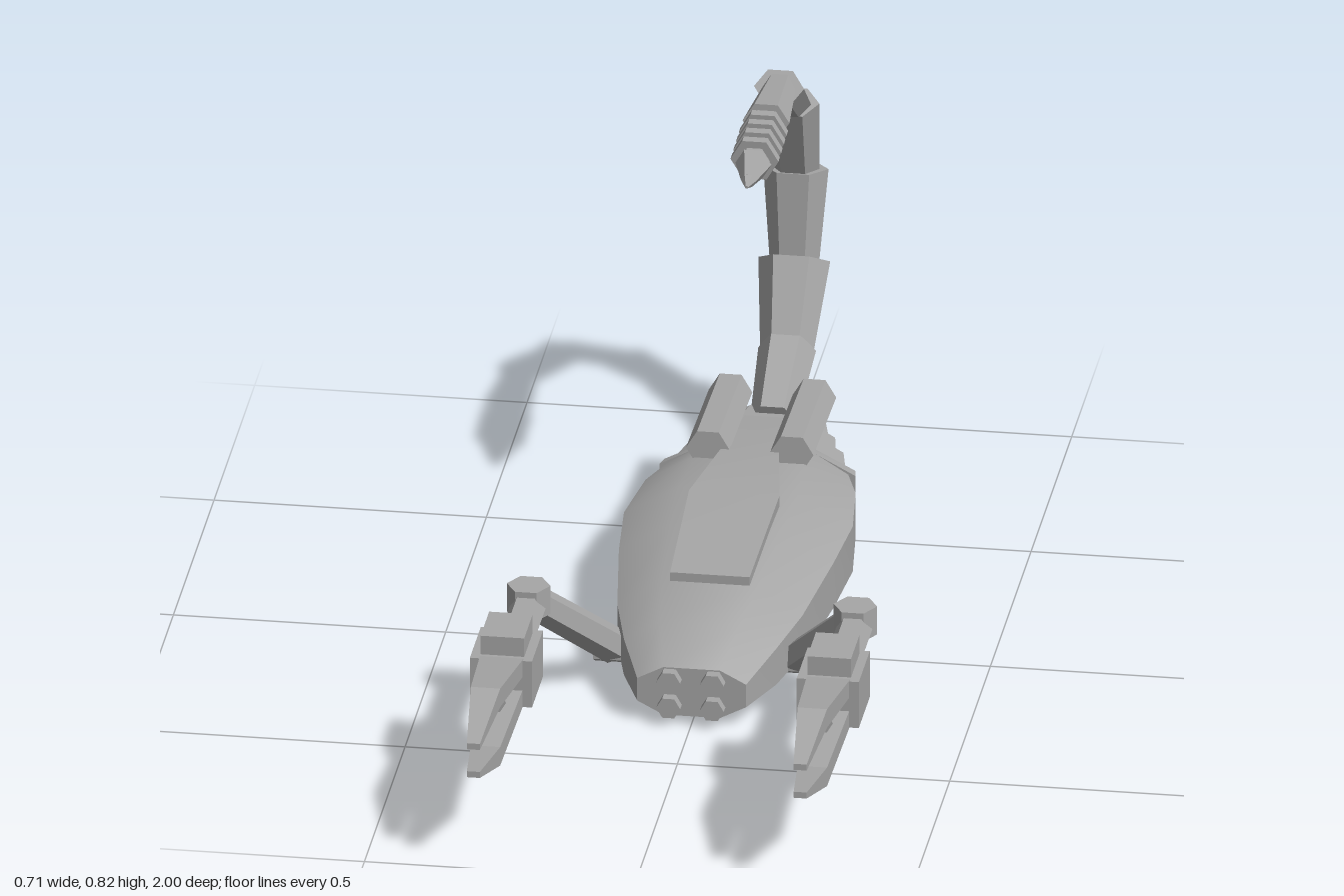
import * as THREE from 'three';
import { toCreasedNormals } from 'three/addons/utils/BufferGeometryUtils.js';

const V = (x, y, z) => new THREE.Vector3(x, y, z);

export function createModel() {
  const model = new THREE.Group();
  model.name = 'scorpion';
  const grey = new THREE.MeshStandardMaterial({ color: 0xa6a6a6 });
  grey.name = 'grey metal';

  function add(parent, geometry, name, crease = 0.5) {
    const mesh = new THREE.Mesh(toCreasedNormals(geometry, crease), grey);
    mesh.name = name;
    parent.add(mesh);
    return mesh;
  }

  // Six-sided tapered rod between two points; depth squashes it across x
  function rod(parent, name, a, b, ra, rb, depth = 1) {
    const dir = b.clone().sub(a);
    const g = new THREE.CylinderGeometry(rb, ra, dir.length(), 6);
    g.rotateY(Math.PI / 6);
    g.scale(1, 1, depth);
    const mesh = add(parent, g, name);
    mesh.position.copy(a).add(b).multiplyScalar(0.5);
    mesh.quaternion.setFromUnitVectors(V(0, 1, 0), dir.normalize());
    return mesh;
  }

  function box(parent, name, w, h, d, x, y, z) {
    add(parent, new THREE.BoxGeometry(w, h, d), name).position.set(x, y, z);
  }

  // Closed skin over cross-sections running front to back
  function loft(sections) {
    const n = sections[0].pts.length, pos = [], idx = [];
    sections.forEach(s => s.pts.forEach(([x, y]) => pos.push(x, y, s.z)));
    for (let i = 0; i < sections.length - 1; i++) {
      for (let j = 0; j < n; j++) {
        const a = i * n + j, b = i * n + (j + 1) % n;
        idx.push(a, a + n, b, b, a + n, b + n);
      }
    }
    const last = (sections.length - 1) * n;
    for (let j = 1; j < n - 1; j++) {
      idx.push(0, j, j + 1, last, last + j + 1, last + j);
    }
    const g = new THREE.BufferGeometry();
    g.setAttribute('position', new THREE.Float32BufferAttribute(pos, 3));
    g.setIndex(idx);
    return g;
  }

  // Octagonal section: half width and four heights
  const oct = (z, w, y0, y1, y2, y3) => {
    const k = w * 0.52;
    return { z, pts: [[-k, y0], [k, y0], [w, y1], [w, y2], [k, y3], [-k, y3], [-w, y2], [-w, y1]] };
  };
  const quad = (z, w, y0, y1, x = 0) => (
    { z, pts: [[x - w, y0], [x + w, y0], [x + w, y1], [x - w, y1]] });

  // Hull
  add(model, loft([
    oct(0.325, 0.1, 0.015, 0.04, 0.085, 0.11),
    oct(0.22, 0.14, 0.004, 0.04, 0.112, 0.153),
    oct(0.1, 0.17, 0, 0.045, 0.125, 0.178),
    oct(-0.1, 0.197, 0, 0.05, 0.14, 0.196),
    oct(-0.25, 0.21, 0.004, 0.055, 0.145, 0.202),
    oct(-0.4, 0.193, 0.012, 0.055, 0.142, 0.198),
    oct(-0.49, 0.165, 0.02, 0.06, 0.138, 0.187),
  ]), 'body', 0.75);

  // Overlapping rear rings
  [
    [-0.485, -0.515, 0.18, 0.175, 0.018, 0.182],
    [-0.5, -0.585, 0.16, 0.143, 0.028, 0.18],
    [-0.58, -0.65, 0.13, 0.118, 0.042, 0.172],
    [-0.64, -0.71, 0.108, 0.092, 0.062, 0.165],
  ].forEach(([z0, z1, w0, w1, lo, hi], i) => {
    const h = hi - lo;
    add(model, loft([
      oct(z0, w0, lo, lo + h * 0.28, lo + h * 0.72, hi),
      oct(z1, w1, lo + 0.012, lo + h * 0.3, lo + h * 0.7, hi - 0.006),
    ]), 'rearRing' + (i + 1));
  });

  // Raised back plate
  add(model, loft([
    quad(0.1, 0.073, 0.165, 0.195), quad(-0.2, 0.083, 0.18, 0.221),
    quad(-0.4, 0.052, 0.18, 0.218), quad(-0.6, 0.04, 0.15, 0.19),
  ]), 'backPlate', 0.3);

  // Tail: path point pairs with radii, each piece flaring toward its tip end
  const tail = new THREE.Group();
  tail.name = 'tail';
  model.add(tail);
  [
    [-0.68, 0.145, -0.85, 0.21, 0.043, 0.053, 0.95],
    [-0.84, 0.2, -0.938, 0.35, 0.048, 0.066, 0.8],
    [-0.938, 0.34, -0.958, 0.525, 0.045, 0.06, 0.75],
    [-0.958, 0.52, -0.892, 0.686, 0.043, 0.053, 0.77],
    [-0.895, 0.68, -0.75, 0.78, 0.038, 0.046, 0.8],
    [-0.76, 0.778, -0.59, 0.785, 0.03, 0.043, 0.9],
    [-0.59, 0.782, -0.43, 0.772, 0.03, 0.028, 1],
  ].forEach(([z0, y0, z1, y1, r0, r1, d], i) =>
    rod(tail, 'tailSegment' + (i + 1), V(0, y0, z0), V(0, y1, z1), r0, r1, d));
  for (let i = 0; i < 4; i++) {
    const z = -0.568 + i * 0.034;
    rod(tail, 'stingerRing', V(0, 0.78 - i * 0.002, z), V(0, 0.779 - i * 0.002, z + 0.018), 0.044, 0.044);
  }
  rod(tail, 'stinger', V(0, 0.772, -0.435), V(0, 0.766, -0.375), 0.033, 0.014);
  rod(tail, 'stingerPoint', V(0, 0.766, -0.375), V(0, 0.764, -0.35), 0.014, 0.003);

  // Mirrored parts
  for (const s of [1, -1]) {
    const side = s > 0 ? 'left' : 'right';
    rod(model, side + 'BackPod', V(s * 0.077, 0.204, -0.67), V(s * 0.077, 0.217, -0.39), 0.04, 0.04, 0.95);
    for (const y of [0.037, 0.088]) {
      rod(model, side + 'FrontNozzle', V(s * 0.04, y, 0.3), V(s * 0.04, y, 0.345), 0.022, 0.022);
    }

    const arm = new THREE.Group();
    arm.name = side + 'Arm';
    model.add(arm);
    const x = s * 0.3, cy = 0.216;
    rod(arm, 'shoulder', V(s * 0.135, 0.058, 0.14), V(s * 0.205, 0.058, 0.14), 0.03, 0.03);
    rod(arm, 'upperArm', V(s * 0.17, 0.06, 0.14), V(x, 0.228, 0.32), 0.034, 0.032);
    rod(arm, 'elbow', V(x, 0.2, 0.32), V(x, 0.256, 0.32), 0.04, 0.04);
    rod(arm, 'forearm', V(x, cy, 0.32), V(x, cy, 0.5), 0.033, 0.033);
    rod(arm, 'wristCollar', V(x, cy, 0.495), V(x, cy, 0.53), 0.043, 0.043);
    box(arm, 'hand', 0.114, 0.092, 0.135, x, cy, 0.593);
    box(arm, 'handTopBlock', 0.08, 0.04, 0.105, x, 0.279, 0.59);
    rod(arm, 'barrel', V(x, cy, 0.65), V(x, cy, 0.745), 0.026, 0.022);

    // Bent claw fingers, lower one mirrored about the hand centre
    for (const f of [1, -1]) {
      const sec = (z, w, inner, outer) => f > 0
        ? quad(z, w, cy + inner, cy + outer, x)
        : quad(z, w, cy - outer, cy - inner, x);
      add(arm, loft([
        sec(1, 0.012, 0.022, 0.034), sec(0.85, 0.027, 0.04, 0.077), sec(0.65, 0.04, 0.012, 0.046),
      ]), f > 0 ? 'upperClaw' : 'lowerClaw', 0.15);
    }
  }
  return model;
}
